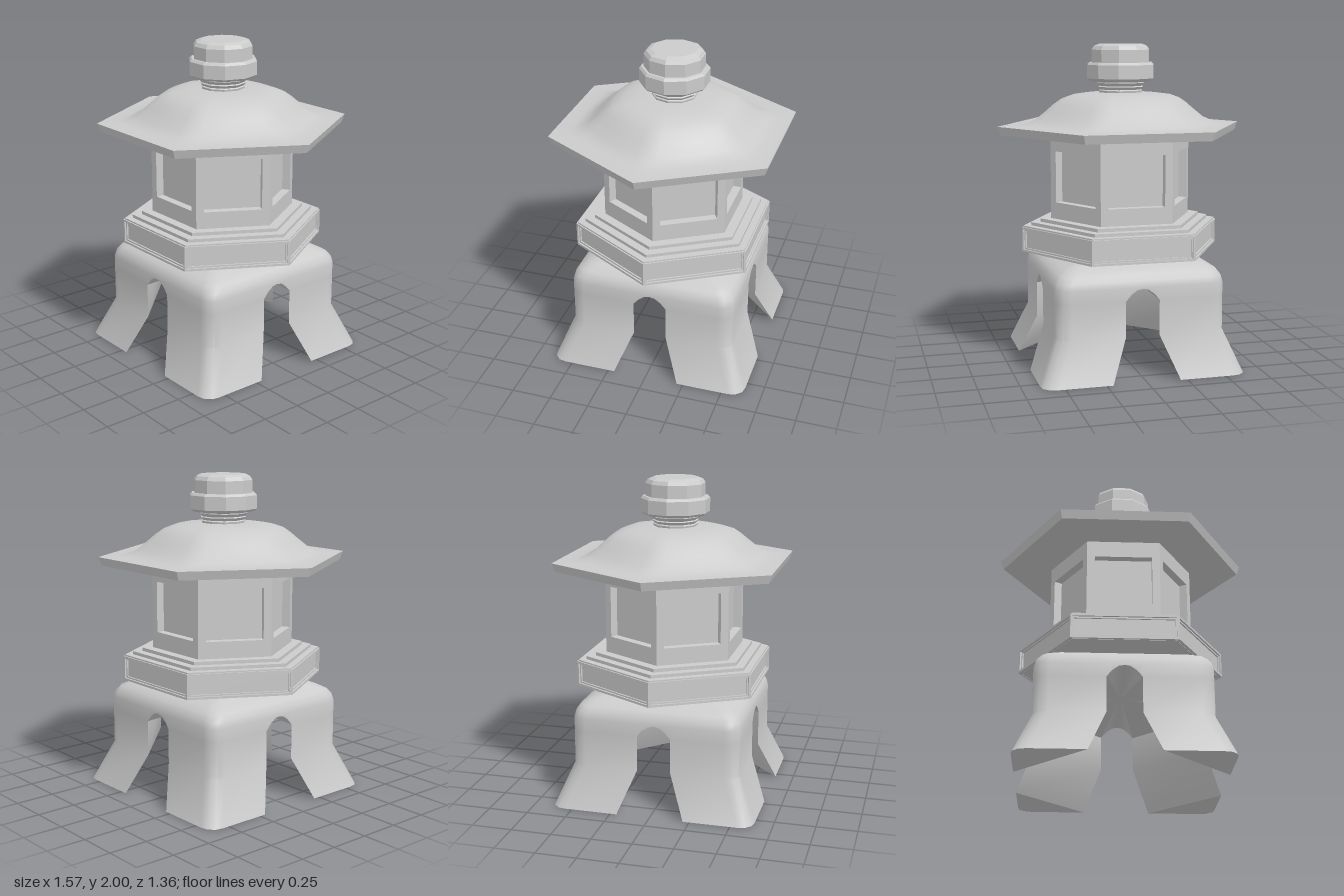
import * as THREE from 'three';
import { toCreasedNormals } from 'three/addons/utils/BufferGeometryUtils.js';

const smooth = new THREE.MeshStandardMaterial({ color: 0xcccccc });
const flat = new THREE.MeshStandardMaterial({ color: 0xcccccc, flatShading: true });

// Rings are closed loops of [x, y, z], counter-clockwise seen from above, listed bottom to top.
function loft(out, rings) {
  for (let r = 0; r + 1 < rings.length; r++) {
    const a = rings[r], b = rings[r + 1], n = a.length;
    for (let i = 0; i < n; i++) {
      const j = (i + 1) % n;
      out.push(a[i], a[j], b[j], a[i], b[j], b[i]);
    }
  }
}

function fan(out, ring, centre, up) {
  ring.forEach((p, i) => {
    const q = ring[(i + 1) % ring.length];
    if (up) out.push(centre, p, q);
    else out.push(centre, q, p);
  });
}

function surface(name, points, crease) {
  const g = new THREE.BufferGeometry();
  g.setAttribute('position', new THREE.Float32BufferAttribute(points.flat(), 3));
  const mesh = new THREE.Mesh(toCreasedNormals(g, crease), smooth);
  mesh.name = name;
  return mesh;
}

// Hexagonal slab with corners on the x axis
function hexSlab(name, radius, y0, y1) {
  const g = new THREE.CylinderGeometry(radius, radius, y1 - y0, 6, 1, false, Math.PI / 6);
  g.translate(0, (y0 + y1) / 2, 0);
  const mesh = new THREE.Mesh(g, flat);
  mesh.name = name;
  return mesh;
}

// Six frames, each with a rectangular opening, standing around a hexagon
function hexFrames(name, radius, y0, y1, holeHalf, h0, h1, depth) {
  const group = new THREE.Group();
  group.name = name;
  const rect = (path, w, a, b) =>
    path.moveTo(-w, a).lineTo(w, a).lineTo(w, b).lineTo(-w, b).closePath();
  const shape = new THREE.Shape();
  rect(shape, radius / 2, y0, y1);
  const hole = new THREE.Path();
  rect(hole, holeHalf, h0, h1);
  shape.holes.push(hole);
  const g = new THREE.ExtrudeGeometry(shape, { depth, bevelEnabled: false });
  g.translate(0, 0, radius * Math.cos(Math.PI / 6) - depth);
  for (let k = 0; k < 6; k++) {
    const mesh = new THREE.Mesh(g, flat);
    mesh.name = name + 'Side';
    mesh.rotation.y = (k * Math.PI) / 3;
    group.add(mesh);
  }
  return group;
}

// Rounded square stand with four splayed corner legs and an arch in each side
function createStand() {
  const S = 0.53, spring = 0.48;
  // One quarter of the plan: half an arch, the rounded corner, half an arch
  const quarter = [
    [0, S], [0.035, S], [0.07, S], [0.105, S], [0.44, S], [0.485, 0.521],
    [0.521, 0.485], [S, 0.44], [S, 0.105], [S, 0.07], [S, 0.035],
  ];
  const archY = [0.552, 0.545, 0.52, spring];
  const heights = quarter.map((_, i) => (i < 4 ? archY[i] : i > 7 ? archY[11 - i] : spring));
  const turn = ([x, z], k) => {
    for (let i = 0; i < k; i++) [x, z] = [z, -x];
    return [x, z];
  };
  const ringOf = (pts, shift, y) => pts.map(([x, z]) => [x + shift, y, z + shift]);
  const plan = [0, 1, 2, 3].flatMap(k => quarter.map(p => turn(p, k)));
  const points = [];

  // Shoulder, from the arches up to the platform
  const lower = plan.map(([x, z], i) => [x, heights[i % quarter.length], z]);
  const shoulder = [[0.53, 0.56], [0.52, 0.6], [0.495, 0.635], [0.45, 0.66], [0.39, 0.685], [0.32, 0.712]]
    .map(([s, y]) => plan.map(([x, z]) => [(x * s) / S, y, (z * s) / S]));
  loft(points, [lower, ...shoulder]);

  // Vaulted underside
  fan(points, lower.filter((_, i) => i % 11 < 4 || i % 11 > 7), [0, 0.552, 0], false);

  // Legs
  for (let k = 0; k < 4; k++) {
    const corner = quarter.slice(3, 9);
    const rings = [[0.105, 0], [0, 0.26], [0, spring]].map(([shift, y]) =>
      ringOf(corner, shift, y).map(([x, h, z]) => {
        const [tx, tz] = turn([x, z], k);
        return [tx, h, tz];
      }));
    loft(points, rings);
    const [cx, cz] = turn([0.5, 0.5], k);
    fan(points, rings[0], [cx, 0, cz], false);
  }
  return surface('stand', points, 0.75);
}

// Hexagonal roof: flat brim rising in a soft curve to a rounded crown
function createRoof() {
  const sides = 48, points = [];
  const ring = ([radius, y, round]) =>
    Array.from({ length: sides }, (_, i) => {
      const t = (i / sides) * Math.PI * 2;
      const hex = Math.cos(Math.PI / 6) / Math.cos((t % (Math.PI / 3)) - Math.PI / 6);
      const r = radius * THREE.MathUtils.lerp(hex, 1, round);
      return [r * Math.cos(t), y, -r * Math.sin(t)];
    });
  // Corner radius, height, roundness
  const rings = [
    [0.765, 1.445, 0], [0.785, 1.498, 0], [0.66, 1.5, 0.15], [0.6, 1.512, 0.3], [0.545, 1.538, 0.42],
    [0.48, 1.59, 0.5], [0.43, 1.632, 0.5], [0.385, 1.662, 0.5], [0.32, 1.684, 0.55],
    [0.24, 1.694, 0.7], [0.14, 1.7, 1],
  ].map(ring);
  loft(points, rings);
  fan(points, rings[0], [0, 1.445, 0], false);
  fan(points, rings[rings.length - 1], [0, 1.7, 0], true);
  return surface('roof', points, 0.6);
}

// Ten-sided turned part
function turned(name, profile) {
  const g = new THREE.LatheGeometry(profile.map(p => new THREE.Vector2(...p)), 10, Math.PI / 2);
  const mesh = new THREE.Mesh(g, flat);
  mesh.name = name;
  return mesh;
}

export function createModel() {
  const model = new THREE.Group();
  model.name = 'stoneLantern';
  model.add(createStand());

  // Platform with panelled sides and two steps
  model.add(
    hexFrames('platformOuterFrame', 0.64, 0.71, 0.865, 0.307, 0.724, 0.852, 0.012),
    hexFrames('platformInnerFrame', 0.627, 0.712, 0.863, 0.298, 0.734, 0.842, 0.01),
    hexSlab('platformCore', 0.616, 0.71, 0.865),
    hexSlab('platformTop', 0.63, 0.86, 0.874),
    hexSlab('lowerStep', 0.58, 0.87, 0.894),
    hexSlab('upperStep', 0.52, 0.89, 0.915),
  );

  // Light chamber with a recessed window in each side
  const depth = 0.052;
  model.add(
    hexFrames('chamberFrame', 0.452, 0.91, 1.446, 0.178, 1.02, 1.34, depth),
    hexSlab('chamberCore', 0.452 - depth / Math.cos(Math.PI / 6), 0.91, 1.446),
  );

  model.add(createRoof());

  // Finial
  model.add(
    turned('finialNeck', [
      [0.135, 1.69], [0.14, 1.712], [0.132, 1.718], [0.146, 1.735], [0.138, 1.741], [0.155, 1.76], [0.15, 1.775],
    ]),
    turned('finialDrum', [
      [0, 1.766], [0.16, 1.766], [0.198, 1.773], [0.216, 1.788], [0.216, 1.872], [0.203, 1.887], [0.17, 1.887],
    ]),
    turned('finialCap', [
      [0.187, 1.88], [0.187, 1.965], [0.172, 1.988], [0.142, 2], [0, 2],
    ]),
  );
  return model;
}
